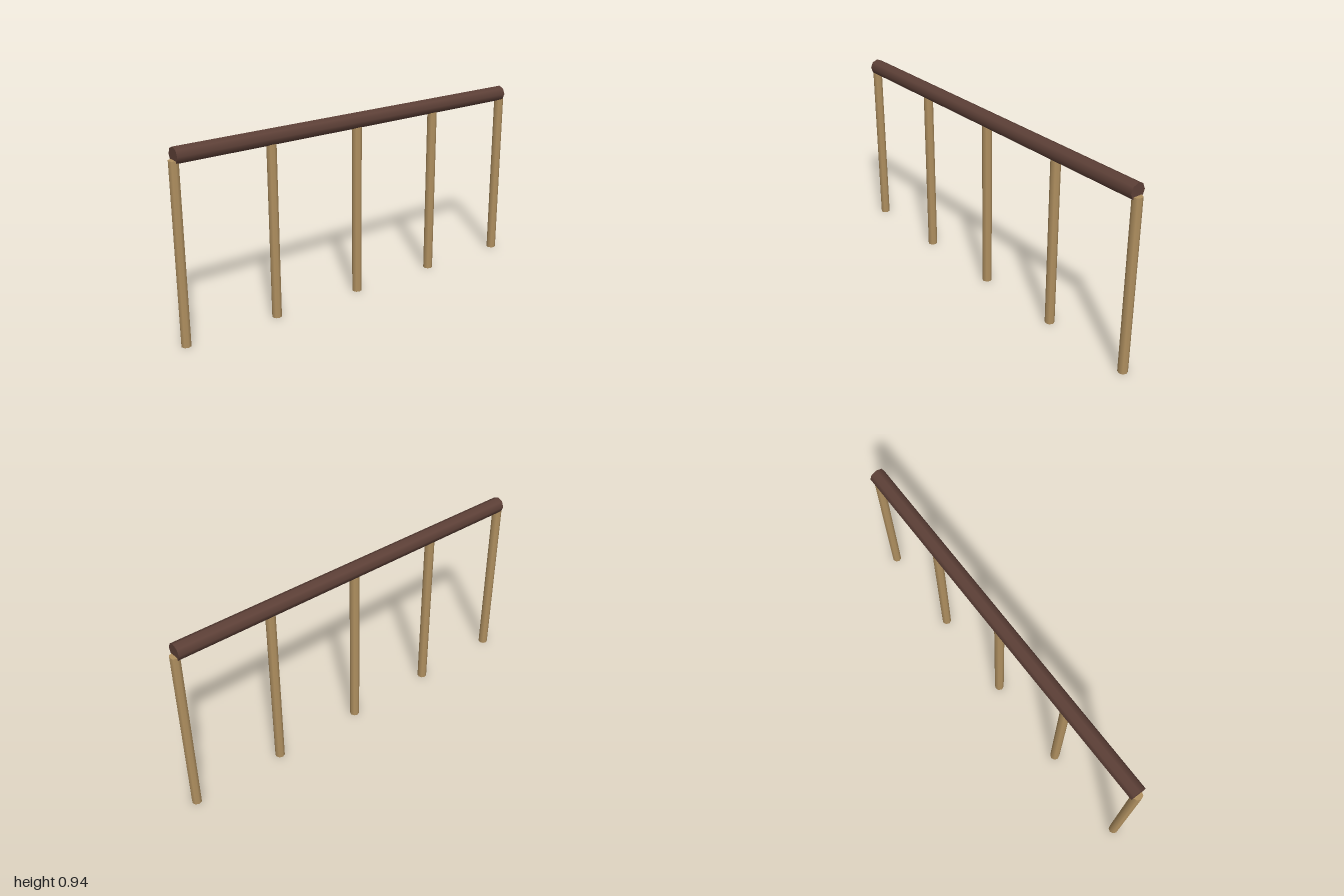
import * as THREE from 'three';

export function createModel() {
  const group = new THREE.Group();
  group.name = 'railing';

  const darkWood = new THREE.MeshStandardMaterial({ name: 'darkWood', color: 0x5d4037 });
  const paleWood = new THREE.MeshStandardMaterial({ name: 'paleWood', color: 0xb09060 });

  const halfLength = 0.976, postHeight = 0.88, postCount = 5;

  // Octagonal handrail running front to back
  const railGeometry = new THREE.CylinderGeometry(0.04, 0.04, halfLength * 2, 8);
  railGeometry.rotateX(Math.PI / 2);
  const rail = new THREE.Mesh(railGeometry, darkWood);
  rail.name = 'handrail';
  rail.position.y = 0.9;
  group.add(rail);

  // Evenly spaced round posts, the end ones centred on the rail ends
  const postGeometry = new THREE.CylinderGeometry(0.024, 0.024, postHeight, 8);
  for (let i = 0; i < postCount; i++) {
    const post = new THREE.Mesh(postGeometry, paleWood);
    post.name = `post${i + 1}`;
    post.position.set(0, postHeight / 2, halfLength * (1 - (2 * i) / (postCount - 1)));
    group.add(post);
  }

  return group;
}
